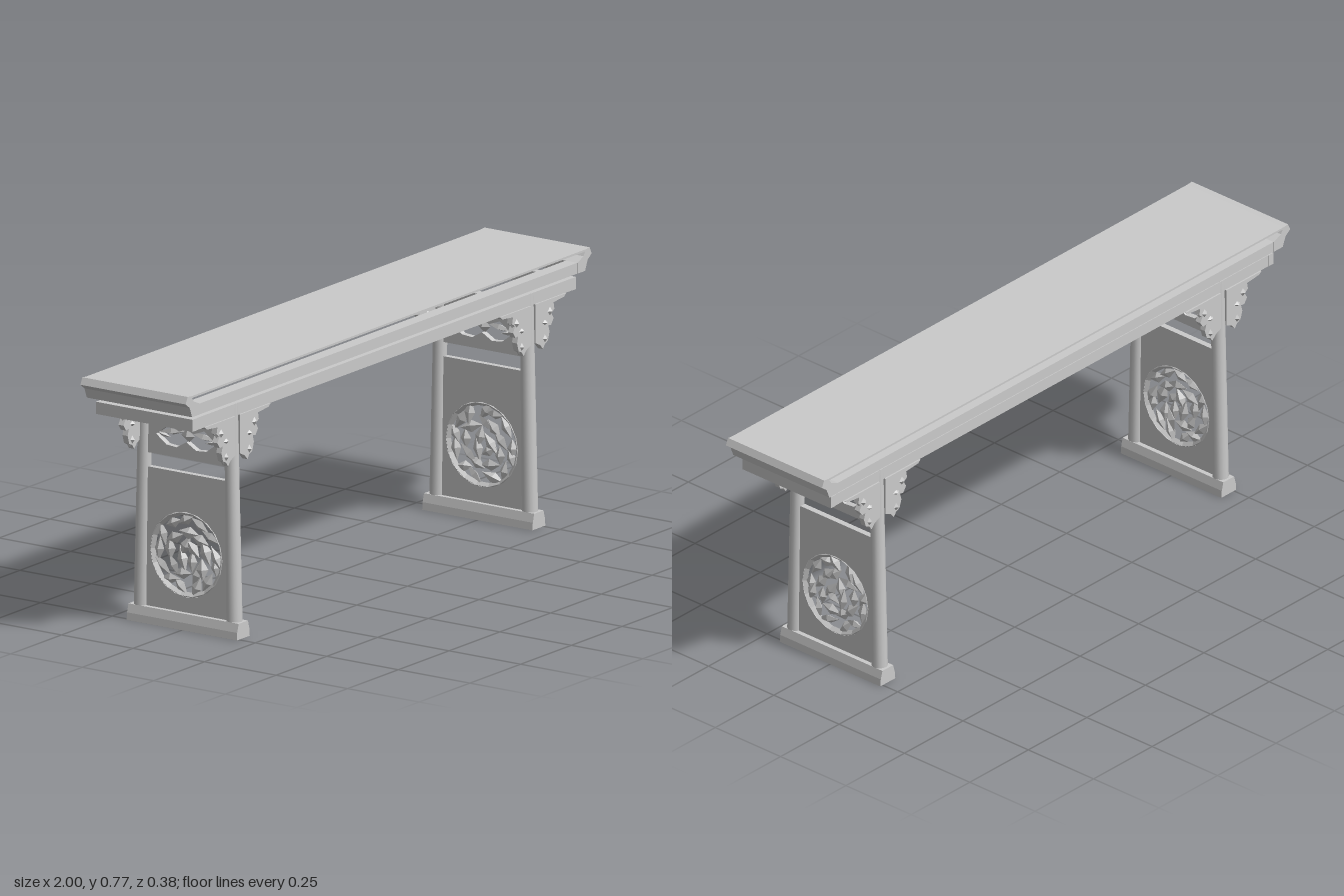
import * as THREE from 'three';

export function createModel() {
  const grey = new THREE.MeshStandardMaterial({ color: 0xcacaca, side: THREE.DoubleSide });
  grey.name = 'plain grey wood';
  const group = new THREE.Group();
  group.name = 'altarTable';

  const add = (parent, name, geo, x = 0, y = 0, z = 0) => {
    const m = new THREE.Mesh(geo, grey);
    m.name = name;
    m.position.set(x, y, z);
    parent.add(m);
    return m;
  };
  const box = (parent, name, w, h, d, x, y, z) => add(parent, name, new THREE.BoxGeometry(w, h, d), x, y, z);
  const shapeOf = pts => new THREE.Shape(pts.map(p => new THREE.Vector2(p[0], p[1])));
  const extrude = (shape, depth) =>
    new THREE.ExtrudeGeometry(shape, { depth, bevelEnabled: false, curveSegments: 10 }).translate(0, 0, -depth / 2);
  const flat = geo => {
    const g = geo.index ? geo.toNonIndexed() : geo;
    g.computeVertexNormals();
    return g;
  };
  let seed = 7;
  const rand = () => (seed = (seed * 16807) % 2147483647) / 2147483647;

  // Thin top board above an open frame
  box(group, 'topBoard', 1.97, 0.006, 0.368, 0, 0.765, 0);
  for (const s of [-1, 1]) {
    box(group, 'topSideRail', 1.9, 0.032, 0.04, 0, 0.721, s * 0.163);
    box(group, 'apronSide', 1.89, 0.036, 0.022, 0, 0.672, s * 0.157);
    box(group, 'apronEnd', 0.022, 0.036, 0.338, s * 0.934, 0.672, 0);

    // Upturned end flange
    const flange = shapeOf([[0.93, 0.705], [0.968, 0.705], [0.98, 0.735], [1, 0.75], [0.99, 0.77], [0.972, 0.768], [0.96, 0.75], [0.93, 0.737]]);
    const end = add(group, 'endFlange', extrude(flange, 0.368));
    if (s < 0) end.rotation.y = Math.PI;
  }

  // Scrolled bracket beside a leg, drawn towards +x
  const bracketShape = shapeOf([
    [0, 0.655], [0.15, 0.655], [0.14, 0.647], [0.088, 0.642], [0.092, 0.622], [0.078, 0.612], [0.088, 0.595],
    [0.076, 0.578], [0.062, 0.58], [0.068, 0.56], [0.06, 0.535], [0.045, 0.528], [0.036, 0.515], [0.022, 0.53], [0, 0.54],
  ]);
  const bracketGeo = extrude(bracketShape, 0.018);
  const knobGeo = flat(new THREE.OctahedronGeometry(1, 0));
  const knobs = [[0.07, 0.62, 0.022, 0.026], [0.045, 0.592, 0.024, 0.016], [0.045, 0.545, 0.018, 0.024]];

  // Flat panel in the zy plane, with a hole
  const panelWithHole = (halfWidth, y0, y1, hole) => {
    const s = shapeOf([[-halfWidth, y0], [halfWidth, y0], [halfWidth, y1], [-halfWidth, y1]]);
    s.holes.push(hole);
    return extrude(s, 0.018).rotateY(Math.PI / 2);
  };
  const roundHole = new THREE.Path().absarc(0, 0.218, 0.126, 0, Math.PI * 2, true);
  const lensHole = new THREE.Path([
    [-0.106, 0.56], [-0.062, 0.592], [-0.025, 0.578], [0, 0.588], [0.025, 0.578], [0.062, 0.592],
    [0.106, 0.56], [0.07, 0.533], [0.035, 0.53], [0, 0.55], [-0.035, 0.53], [-0.07, 0.533],
  ].map(p => new THREE.Vector2(...p)));

  // Pointed carved leaf in the zy plane
  const leafGeo = flat(new THREE.OctahedronGeometry(1, 0));
  const leaf = (parent, z, y, length, width, angle, tilt) => {
    const m = add(parent, 'carvedLeaf', leafGeo, 0, y, z);
    m.scale.set(0.011, width, length);
    m.rotation.set(angle, 0, tilt);
  };

  const buildStand = () => {
    const stand = new THREE.Group();
    stand.name = 'legFrame';

    // Foot runner with sloped shoulders
    const foot = shapeOf([[-0.032, 0], [0.032, 0], [0.03, 0.022], [0.023, 0.047], [-0.023, 0.047], [-0.03, 0.022]]);
    add(stand, 'footRunner', extrude(foot, 0.385));

    for (const s of [-1, 1]) {
      // Splayed round leg
      const leg = add(stand, 'leg', new THREE.CylinderGeometry(0.02, 0.0235, 0.645, 14), 0, 0.3675, s * 0.1555);
      leg.rotation.x = -s * 0.019;
      for (const side of [-1, 1]) {
        const bracket = new THREE.Group();
        bracket.name = 'scrollBracket';
        bracket.position.set(side * 0.012, 0, s * 0.164);
        if (side < 0) bracket.rotation.y = Math.PI;
        add(bracket, 'bracketPlate', bracketGeo);
        for (const [x, y, rx, ry] of knobs) {
          add(bracket, 'bracketCarving', knobGeo, x, y, 0).scale.set(rx, ry, 0.018);
        }
        stand.add(bracket);
      }
    }

    // Lower and upper panels
    add(stand, 'lowerPanel', panelWithHole(0.145, 0.045, 0.458, roundHole));
    add(stand, 'upperPanel', panelWithHole(0.145, 0.5, 0.625, lensHole));
    box(stand, 'crossRail', 0.028, 0.04, 0.29, 0, 0.643, 0);

    // Round medallion: faceted rim and openwork leaves
    const rim = add(stand, 'medallionRim', flat(new THREE.TorusGeometry(0.124, 0.01, 4, 18)), 0, 0.218, 0);
    rim.rotation.y = Math.PI / 2;
    for (const [count, radius, length, width] of [[13, 0.1, 0.036, 0.016], [9, 0.063, 0.036, 0.018], [4, 0.025, 0.036, 0.016]]) {
      for (let i = 0; i < count; i++) {
        const a = (i + rand() * 0.5) / count * Math.PI * 2;
        leaf(stand, Math.cos(a) * radius, 0.218 + Math.sin(a) * radius,
          length * (0.8 + rand() * 0.4), width, -a + 0.6 + rand() * 1.6, (rand() - 0.5) * 0.9);
      }
    }

    // Slim carving across the upper opening
    for (const s of [-1, 1]) {
      leaf(stand, s * 0.055, 0.572, 0.05, 0.011, s * 0.15, 0.4);
      leaf(stand, s * 0.085, 0.559, 0.026, 0.007, -s * 0.2, -0.3);
    }
    leaf(stand, 0, 0.568, 0.024, 0.022, 0, 0.2);
    return stand;
  };

  for (const s of [-1, 1]) {
    const stand = buildStand();
    stand.position.x = s * 0.728;
    group.add(stand);
  }
  return group;
}
